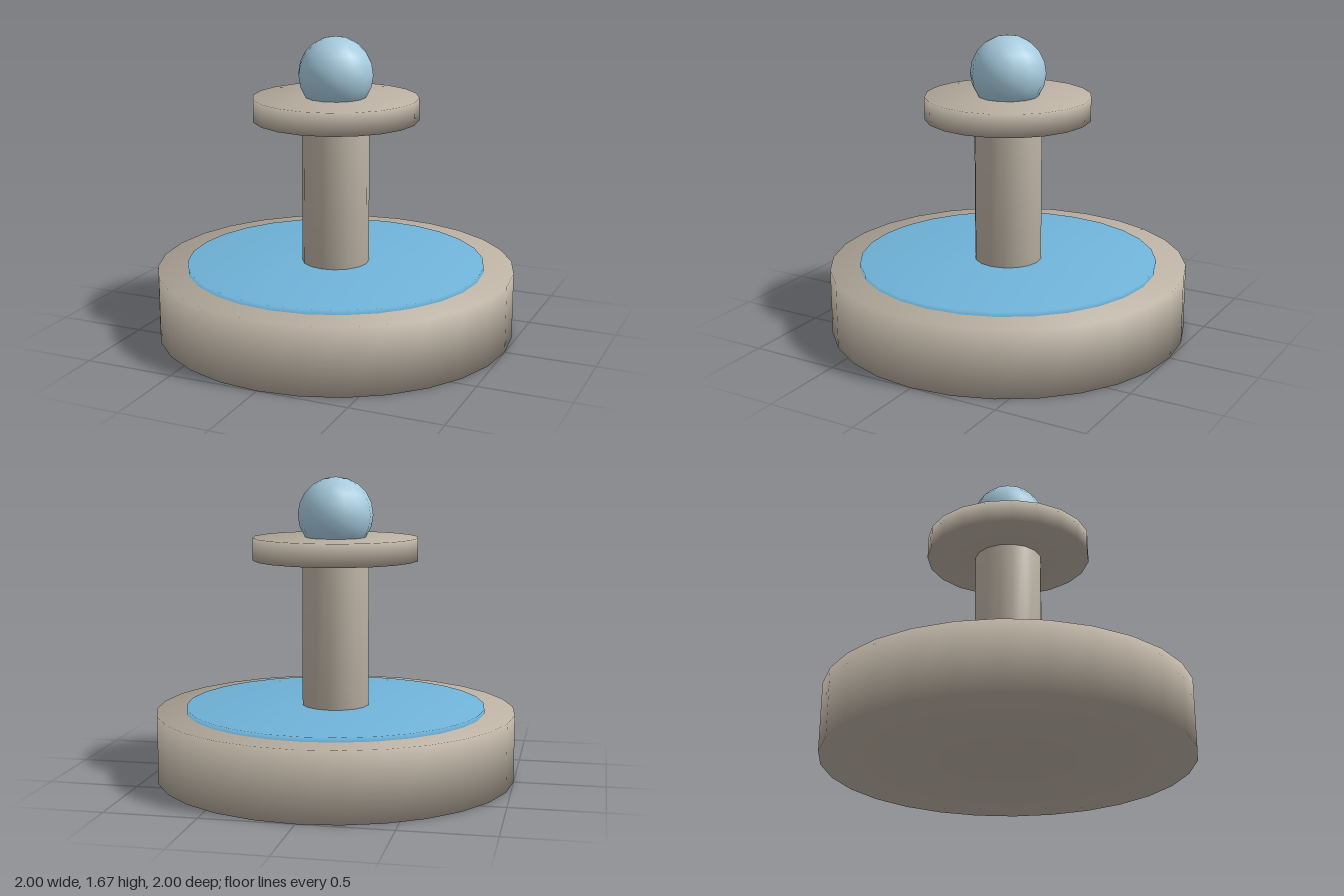
import * as THREE from 'three';
import { mergeVertices } from 'three/addons/utils/BufferGeometryUtils.js';

const material = (name, color) => {
  const m = new THREE.MeshStandardMaterial({ color });
  m.name = name;
  return m;
};

// Round slab from y0 to y1, with normals shared across its rims for soft edges.
function disc(radius, y0, y1, sides) {
  const geo = new THREE.CylinderGeometry(radius, radius, y1 - y0, sides);
  geo.translate(0, (y0 + y1) / 2, 0);
  geo.deleteAttribute('uv');
  geo.deleteAttribute('normal');
  const soft = mergeVertices(geo, 1e-4);
  soft.computeVertexNormals();
  return soft;
}

export function createModel() {
  const fountain = new THREE.Group();
  fountain.name = 'fountain';

  const stone = material('stone', 0xbab0a2);
  const water = material('water', 0x70b4da);
  const spray = material('spray', 0xa6cbde);

  const add = (name, geometry, mat) => {
    const mesh = new THREE.Mesh(geometry, mat);
    mesh.name = name;
    fountain.add(mesh);
    return mesh;
  };

  // Wide basin with a pool standing just above its rim
  add('basin', disc(1, 0, 0.375, 28), stone);
  add('pool', disc(0.833, 0.3, 0.4, 28), water);

  // Central column carrying the upper dish
  add('column', disc(0.187, 0.33, 1.25, 16), stone);
  add('upperDish', disc(0.458, 1.21, 1.335, 20), stone);

  // Ball of water on top, a corner turned to the front
  const ball = add('waterBall', new THREE.SphereGeometry(0.208, 14, 10), spray);
  ball.position.y = 1.458;
  ball.rotation.y = Math.PI / 2;

  return fountain;
}
